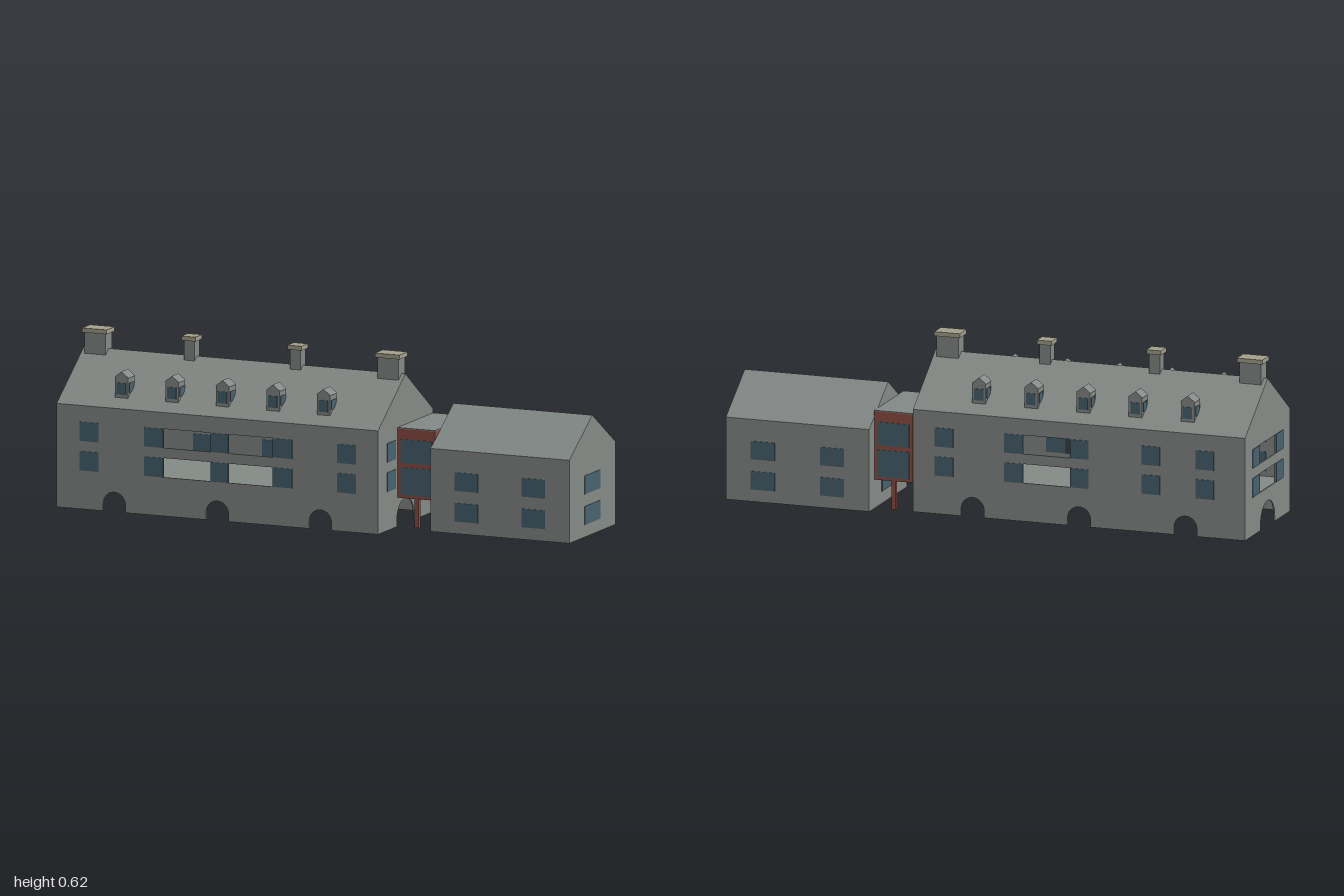
import * as THREE from 'three';

const mat = (name, color) => new THREE.MeshStandardMaterial({ name, color });
const stone = mat('stone', 0x858b87);
const slate = mat('slate', 0x848a87);
const glass = mat('glass', 0x48626f);
const red = mat('red timber', 0x8e4d44);
const cap = mat('chimney cap', 0xa5a18d);

const T = 0.005; // wall thickness
const ANGLE = 0.131;

function group(name, x = 0, y = 0, z = 0, ry = 0) {
  const g = new THREE.Group();
  g.name = name;
  g.position.set(x, y, z);
  g.rotation.y = ry;
  return g;
}

function add(parent, name, geometry, material, x = 0, y = 0, z = 0) {
  const m = new THREE.Mesh(geometry, material);
  m.name = name;
  m.position.set(x, y, z);
  parent.add(m);
  return m;
}

// Box given by its base height and top height
function box(parent, name, material, w, y0, y1, d, x = 0, z = 0) {
  return add(parent, name, new THREE.BoxGeometry(w, y1 - y0, d), material, x, (y0 + y1) / 2, z);
}

// Extruded cross-section, running along z and centred on it
function prism(points, depth) {
  const shape = new THREE.Shape(points.map(p => new THREE.Vector2(...p)));
  return new THREE.ExtrudeGeometry(shape, { depth, bevelEnabled: false }).translate(0, 0, -depth / 2);
}

// Pitched roof with stone gables, ridge along x
function gableRoof(parent, length, depth, eave, ridge) {
  const geo = prism([[-depth / 2, eave], [depth / 2, eave], [0, ridge]], length).rotateY(Math.PI / 2);
  add(parent, 'roof', geo, [stone, slate]);
}

// Wall with arches at ground level, open bays and glazed windows; faces +z
function wall(parent, { name, w, h, arches, r, leg, openings = [], windows = [], rows }, x, z, ry) {
  const g = group(name, x, 0, z, ry);
  const s = new THREE.Shape();
  s.moveTo(-w / 2, 0);
  for (const a of arches) {
    s.lineTo(a - r, 0);
    s.lineTo(a - r, leg);
    s.absarc(a, leg, r, Math.PI, 0, true);
    s.lineTo(a + r, 0);
  }
  s.lineTo(w / 2, 0);
  s.lineTo(w / 2, h);
  s.lineTo(-w / 2, h);
  s.closePath();
  for (const [y0, y1] of rows) {
    for (const [a, b] of openings) {
      const hole = new THREE.Path();
      hole.moveTo(a, y0);
      hole.lineTo(a, y1);
      hole.lineTo(b, y1);
      hole.lineTo(b, y0);
      hole.closePath();
      s.holes.push(hole);
    }
    for (const [a, b] of windows) {
      box(g, 'window', glass, b - a, y0, y1, 0.009, (a + b) / 2, -T / 2);
    }
  }
  const geo = new THREE.ExtrudeGeometry(s, { depth: T, bevelEnabled: false, curveSegments: 12 });
  add(g, 'wallPanel', geo, stone, 0, 0, -T);
  parent.add(g);
}

function dormer(parent, u, side) {
  const g = group('dormer', u, 0, side * 0.165, side > 0 ? 0 : Math.PI);
  const w = 0.026, d = 0.058;
  add(g, 'dormerBody', prism([[-w, 0.41], [w, 0.41], [w, 0.485], [-w, 0.485]], d), stone);
  add(g, 'dormerRoof', prism([[-w - 0.002, 0.485], [w + 0.002, 0.485], [0, 0.507]], d), [stone, slate]);
  box(g, 'dormerWindow', glass, 0.036, 0.423, 0.466, 0.004, 0, d / 2);
  for (const s of [-1, 1]) box(g, 'dormerSideWindow', glass, 0.004, 0.43, 0.466, 0.036, s * w, 0);
  parent.add(g);
}

function chimney(parent, u, w, d) {
  const g = group('chimney', u);
  box(g, 'chimneyShaft', stone, w, 0.5, 0.606, d);
  box(g, 'chimneyCap', cap, w + 0.014, 0.606, 0.622, d + 0.014);
  parent.add(g);
}

function mainHouse() {
  const g = group('mainHouse', -0.3385, 0, 0.07, ANGLE);
  const L = 1.273, D = 0.476, H = 0.38;
  const rows = [[0.142, 0.213], [0.25, 0.32]];
  const long = { w: L, h: H, arches: [-0.408, 0, 0.408], r: 0.044, leg: 0.028, rows };
  const end = { w: D - 2 * T, h: H, arches: [0], r: 0.075, leg: 0.02, rows };
  wall(g, {
    ...long, name: 'frontWall',
    openings: [[-0.214, -0.025], [0.043, 0.22]],
    windows: [[-0.545, -0.47], [-0.289, -0.214], [-0.025, 0.043], [0.22, 0.297], [0.475, 0.55]],
  }, 0, D / 2, 0);
  // seen from behind, so horizontal positions are mirrored
  wall(g, {
    ...long, name: 'backWall',
    openings: [[-0.215, -0.033]],
    windows: [[-0.554, -0.482], [-0.286, -0.215], [-0.033, 0.037], [0.24, 0.31], [0.447, 0.517]],
  }, 0, -D / 2, Math.PI);
  wall(g, {
    ...end, name: 'rightEndWall',
    openings: [[-0.088, 0.088]], windows: [[-0.162, -0.088], [0.088, 0.162]],
  }, -L / 2, 0, -Math.PI / 2);
  wall(g, {
    ...end, name: 'leftEndWall', windows: [[-0.16, -0.085]],
  }, L / 2, 0, Math.PI / 2);
  box(g, 'floor', stone, L - 2 * T, 0.115, 0.122, D - 2 * T);
  gableRoof(g, L, D, H, 0.548);
  for (const u of [-0.4, -0.2, 0, 0.2, 0.4]) {
    dormer(g, u, 1);
    dormer(g, u, -1);
  }
  for (const s of [-1, 1]) {
    chimney(g, s * 0.58, 0.084, 0.056);
    chimney(g, s * 0.21, 0.042, 0.042);
  }
  return g;
}

function wing() {
  const g = group('wing', 0.7, 0, -0.16, ANGLE);
  const L = 0.55, D = 0.4;
  box(g, 'wingWalls', stone, L, 0, 0.305, D);
  gableRoof(g, L, D, 0.305, 0.436);
  for (const [y0, y1] of [[0.045, 0.113], [0.157, 0.225]]) {
    for (const s of [-1, 1]) {
      for (const u of [-0.133, 0.133]) {
        box(g, 'wingWindow', glass, 0.092, y0, y1, 0.004, u, s * D / 2);
      }
      box(g, 'wingEndWindow', glass, 0.004, y0, y1, 0.136, s * L / 2, 0);
    }
  }
  return g;
}

// Raised glazed bridge between the two buildings
function bridge() {
  const g = group('bridge', 0.357, 0, -0.105, ANGLE);
  const W = 0.148, D = 0.31;
  box(g, 'bridgeFrame', red, W, 0.107, 0.36, D);
  box(g, 'bridgeRoof', slate, W, 0.36, 0.364, D);
  for (const s of [-1, 1]) {
    box(g, 'bridgeLowerWindow', glass, W - 0.024, 0.118, 0.219, 0.004, 0, s * D / 2);
    box(g, 'bridgeUpperWindow', glass, W - 0.024, 0.235, 0.322, 0.004, 0, s * D / 2);
    box(g, 'bridgePost', red, 0.016, 0, 0.107, 0.016, 0, s * (D / 2 - 0.012));
  }
  return g;
}

export function createModel() {
  const model = group('countryHouse');
  model.add(mainHouse(), wing(), bridge());
  return model;
}
